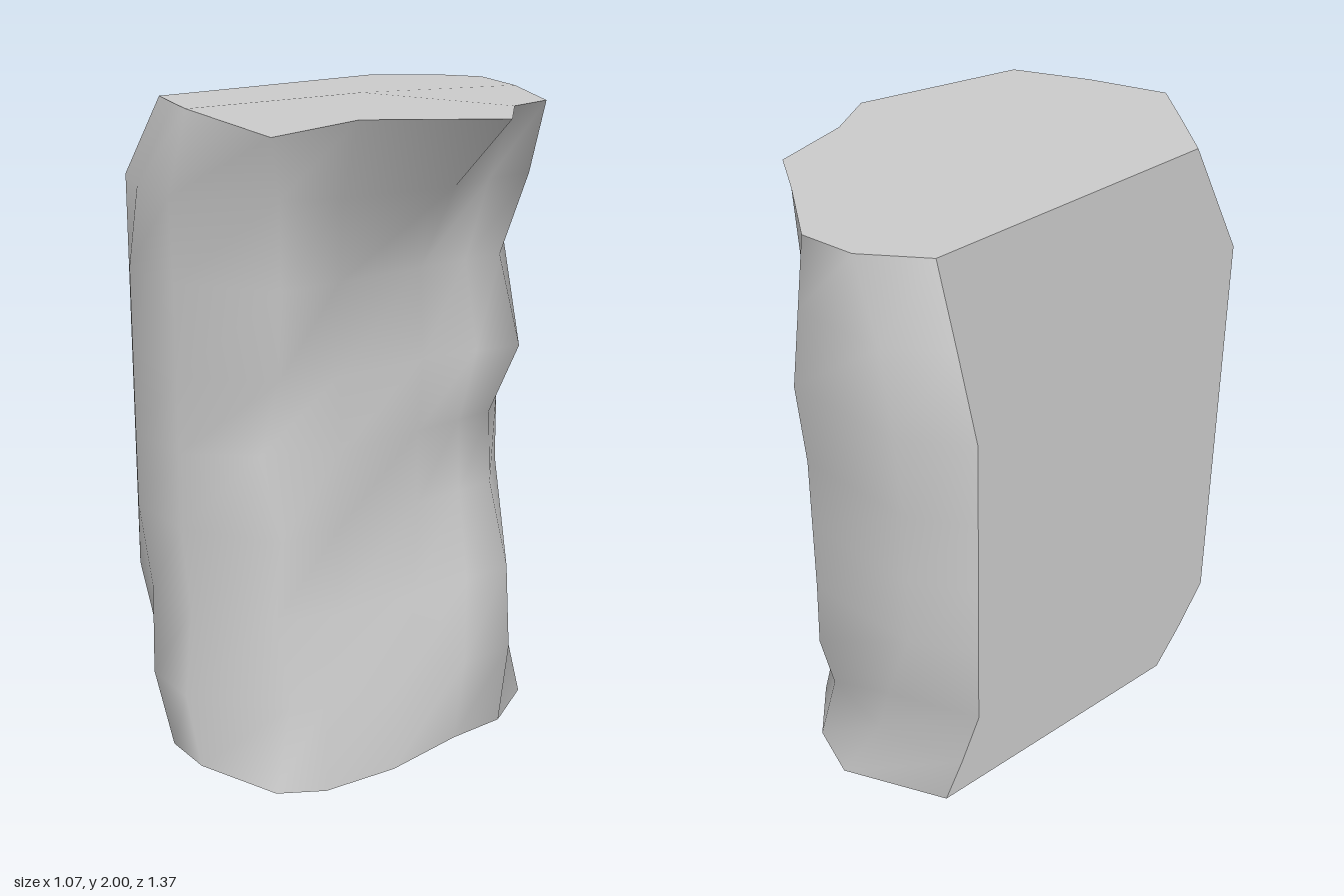
import * as THREE from 'three';

// Key outlines, from the front cut edge round the +x side to the back cut edge: [x, z]
const BOTTOM = [[-.375, .46], [-.24, .605], [-.07, .65], [.2, .605], [.28, .475], [.36, .26], [.385, 0],
  [.37, -.25], [.3, -.455], [.12, -.6], [-.07, -.65], [-.375, -.475]];
const WAIST = [[-.535, .46], [-.4, .575], [-.13, .65], [.15, .52], [.21, .33], [.245, .02], [.265, -.16],
  [.28, -.3], [.135, -.52], [0, -.66], [-.37, -.605], [-.535, -.475]];
const TOP = [[-.375, .46], [-.22, .555], [-.06, .65], [.24, .63], [.38, .44], [.535, -.025], [.42, -.19],
  [.365, -.425], [.17, -.53], [-.06, -.66], [-.22, -.62], [-.375, -.475]];
const TOP_Y = [2, 2, 2, 1.945, 1.985, 1.96, 1.975, 1.97, 1.995, 2, 2, 2];
const BOTTOM_Y = [.04, .035, .035, .02, .005, .02, .035, 0, .01, .03, .04, .04];

// Each middle row: height, widest x on the bumpy side, front depth, back depth,
// x and z of the front ridge, share of the nearest end outline mixed in
const ROWS = [
  [.27, .41, .685, .6, .19, .53, .65], [.52, .365, .635, .655, .13, .53, .3],
  [.78, .28, .65, .655, .17, .535, 0], [1.01, .27, .65, .655, .07, .52, 0],
  [1.24, .38, .65, .655, .13, .5, 0], [1.51, .29, .65, .68, .18, .54, 0],
  [1.76, .36, .685, .665, .17, .53, .4],
];

function buildRings() {
  const last = WAIST.length - 1;
  const ridge = 3, bulge = 7;
  const rings = [BOTTOM.map(([x, z], j) => [x, BOTTOM_Y[j], z])];
  ROWS.forEach(([y, right, front, back, ridgeX, ridgeZ, mix], i) => {
    const end = y < 1 ? BOTTOM : TOP;
    rings.push(WAIST.map(([wx, wz], j) => {
      if (j === 0 || j === last) {
        // straight chamfers at the cut edges
        const half = i === 0 || (i === ROWS.length - 1 && j === last);
        return [half ? -.455 : -.535, y, wz];
      }
      if (j === ridge) return [ridgeX, y, ridgeZ];
      let x = THREE.MathUtils.lerp(wx, end[j][0], mix);
      let z = THREE.MathUtils.lerp(wz, end[j][1], mix);
      z *= z > 0 ? front / .65 : back / .66;
      // bumps swell toward the rear of the +x side
      const bump = j <= bulge ? Math.max(0, 1 - (bulge - j) / 2.4) : 0;
      x += (right - Math.max(x, .28)) * bump;
      return [x, y, z];
    }));
  });
  rings.push(TOP.map(([x, z], j) => [x, TOP_Y[j], z]));
  return rings;
}

// Fan of triangles from a hub, with one normal for the whole face
function fan(hub, loop, normal) {
  const pos = [], nor = [];
  loop.forEach((p, k) => {
    pos.push(...hub, ...p, ...loop[(k + 1) % loop.length]);
    nor.push(...normal, ...normal, ...normal);
  });
  const g = new THREE.BufferGeometry();
  g.setAttribute('position', new THREE.Float32BufferAttribute(pos, 3));
  g.setAttribute('normal', new THREE.Float32BufferAttribute(nor, 3));
  return g;
}

export function createModel() {
  const group = new THREE.Group();
  group.name = 'rockChunk';
  const material = new THREE.MeshStandardMaterial({ color: 0xcccccc, side: THREE.DoubleSide });
  const add = (name, geometry) => {
    const mesh = new THREE.Mesh(geometry, material);
    mesh.name = name;
    group.add(mesh);
  };

  const rings = buildRings();
  const n = WAIST.length;

  // Rough, smooth-shaded wall wrapping round three sides
  const index = [];
  for (let i = 0; i < rings.length - 1; i++) {
    for (let j = 0; j < n - 1; j++) {
      const a = i * n + j, b = a + 1, c = b + n, d = a + n;
      index.push(a, b, c, a, c, d);
    }
  }
  const wall = new THREE.BufferGeometry();
  wall.setAttribute('position', new THREE.Float32BufferAttribute(rings.flat(2), 3));
  wall.setIndex(index);
  wall.computeVertexNormals();
  add('roughWall', wall);

  // Top and bottom faces
  add('topFace', fan([0, 2, 0], rings[rings.length - 1], [0, 1, 0]));
  add('bottomFace', fan([0, .02, 0], [...rings[0]].reverse(), [0, -1, 0]));

  // Flat cut face, fanned from the lower front chamfer
  const front = rings.map(r => r[0]);
  const back = rings.map(r => r[n - 1]).reverse();
  add('cutFace', fan(front[1], [...front, ...back], [-1, 0, 0]));

  return group;
}
